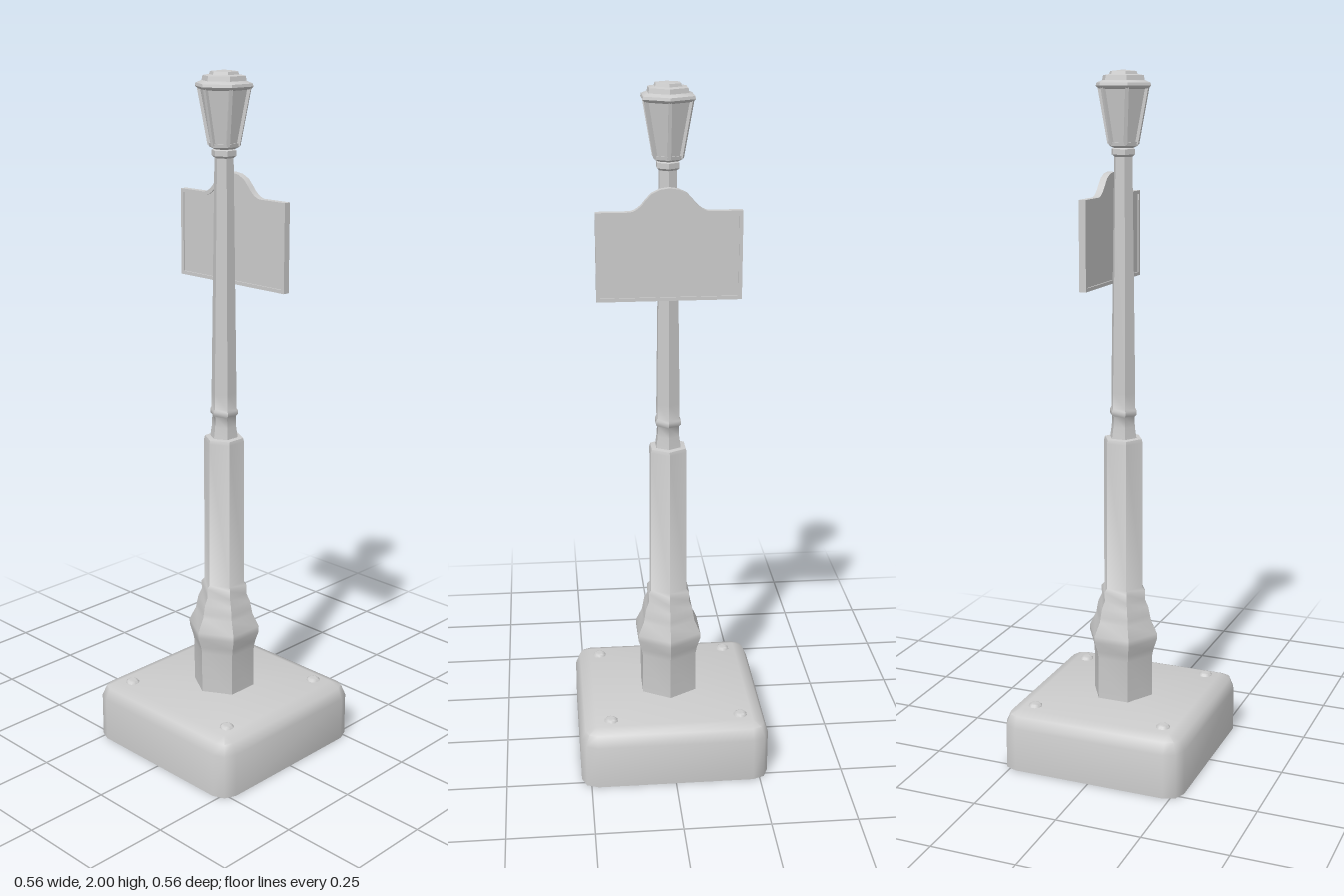
import * as THREE from 'three';
import { toCreasedNormals } from 'three/addons/utils/BufferGeometryUtils.js';

const material = new THREE.MeshStandardMaterial({ color: 0xcccccc, side: THREE.DoubleSide });

function part(name, geometry, crease = 0.75) {
  const mesh = new THREE.Mesh(toCreasedNormals(geometry, crease), material);
  mesh.name = name;
  return mesh;
}

// Six-sided turned shape with a corner on +x; profile is [radius, height] pairs
function hexLathe(profile) {
  const points = profile.map(([r, y]) => new THREE.Vector2(r, y));
  return new THREE.LatheGeometry(points, 6, Math.PI / 2);
}

// Hollow square plinth: rounded-square loops stacked upwards, closed on top
function plinthGeometry() {
  const half = 0.278, corner = 0.048;
  const levels = [[0, 0], [0.132, 0], [0.164, 0.014], [0.177, 0.046]]; // [y, inset]
  const positions = [], index = [], n = 12;
  for (const [y, inset] of levels) {
    const c = half - corner, r = corner - inset;
    for (let q = 0; q < 4; q++) {
      const mid = Math.PI / 4 + q * Math.PI / 2;
      for (let k = 0; k < 3; k++) {
        const a = mid + (k - 1) * Math.PI / 4;
        positions.push(Math.sign(Math.cos(mid)) * c + r * Math.cos(a), y,
          Math.sign(Math.sin(mid)) * c + r * Math.sin(a));
      }
    }
  }
  for (let l = 0; l < levels.length - 1; l++) {
    for (let i = 0; i < n; i++) {
      const a = l * n + i, b = l * n + (i + 1) % n;
      index.push(a, a + n, b, b, a + n, b + n);
    }
  }
  const top = (levels.length - 1) * n, centre = levels.length * n;
  positions.push(0, 0.179, 0);
  for (let i = 0; i < n; i++) index.push(top + i, centre, top + (i + 1) % n);
  const geometry = new THREE.BufferGeometry();
  geometry.setAttribute('position', new THREE.Float32BufferAttribute(positions, 3));
  geometry.setIndex(index);
  geometry.computeVertexNormals();
  return geometry;
}

// Board outline with an arched crest, shrunk inwards by d
function boardOutline(d, Type = THREE.Shape) {
  const w = 0.202 - d, low = 1.412 + d, high = 1.66 - d, s = 0.108 - d * 0.6;
  const s2 = new Type();
  s2.moveTo(-w, low);
  s2.lineTo(w, low);
  s2.lineTo(w, high);
  s2.lineTo(s, high);
  s2.quadraticCurveTo(0.085 - d * 0.6, high + 0.004, 0.066 - d * 0.6, high + 0.03);
  s2.bezierCurveTo(0.04, 1.735 - d, -0.04, 1.735 - d, -0.066 + d * 0.6, high + 0.03);
  s2.quadraticCurveTo(-0.085 + d * 0.6, high + 0.004, -s, high);
  s2.lineTo(-w, high);
  s2.closePath();
  return s2;
}

// Extrudes a board shape across x, facing sideways
function boardGeometry(shape, x0, x1) {
  const g = new THREE.ExtrudeGeometry(shape, { depth: x1 - x0, bevelEnabled: false, curveSegments: 6 });
  return g.rotateY(Math.PI / 2).translate(x0, 0, 0);
}

export function createModel() {
  const model = new THREE.Group();
  model.name = 'streetLampWithSign';

  model.add(part('plinth', plinthGeometry(), 0.9));

  // Flattened bolt heads near the plinth corners
  const bolts = new THREE.Group();
  bolts.name = 'bolts';
  for (const [x, z] of [[-0.2, -0.195], [0.2, -0.198], [0.2, 0.187], [-0.193, 0.203]]) {
    const dome = new THREE.SphereGeometry(0.021, 10, 4, 0, Math.PI * 2, 0, Math.PI / 2);
    const bolt = part('bolt', dome.scale(1, 0.55, 1));
    bolt.position.set(x, 0.176, z);
    bolts.add(bolt);
  }
  model.add(bolts);

  // Post foot, swelling and thick lower column
  model.add(part('lowerPost', hexLathe([
    [0.093, 0.15], [0.093, 0.305], [0.097, 0.325], [0.108, 0.358], [0.108, 0.375],
    [0.088, 0.415], [0.085, 0.43], [0.08, 0.455], [0.069, 0.478], [0.07, 0.505],
    [0.061, 0.515], [0.06, 0.955], [0.057, 0.965], [0.04, 0.967],
  ])));

  // Slim upper column with its collar
  model.add(part('upperPost', hexLathe([
    [0.042, 0.96], [0.036, 1.0], [0.035, 1.03], [0.041, 1.036], [0.041, 1.048],
    [0.037, 1.055], [0.037, 1.1], [0.027, 1.78],
  ])));

  // Lantern: neck collar, recessed panes, corner bars and rails, stepped cap
  const lantern = new THREE.Group();
  lantern.name = 'lantern';
  lantern.add(part('lanternNeck', hexLathe([
    [0.026, 1.765], [0.035, 1.772], [0.035, 1.787], [0.03, 1.79], [0.043, 1.796], [0.045, 1.806], [0, 1.806],
  ])));
  lantern.add(part('lanternPanes', hexLathe([[0.039, 1.8], [0.067, 1.955]])));
  const up = new THREE.Vector3(0, 1, 0);
  for (let i = 0; i < 6; i++) {
    const a = i * Math.PI / 3;
    const from = new THREE.Vector3(Math.cos(a) * 0.041, 1.8, Math.sin(a) * 0.041);
    const to = new THREE.Vector3(Math.cos(a) * 0.071, 1.955, Math.sin(a) * 0.071);
    const dir = to.clone().sub(from);
    const bar = part('lanternBar', new THREE.BoxGeometry(0.009, dir.length(), 0.009));
    bar.position.copy(from).add(to).multiplyScalar(0.5);
    bar.quaternion.setFromUnitVectors(up, dir.normalize())
      .multiply(new THREE.Quaternion().setFromAxisAngle(up, -a));
    lantern.add(bar);
  }
  lantern.add(part('lanternCap', hexLathe([
    [0.06, 1.947], [0.075, 1.95], [0.082, 1.957], [0.08, 1.965], [0.063, 1.972],
    [0.06, 1.985], [0.042, 1.988], [0.039, 1.996], [0, 2.0],
  ])));
  model.add(lantern);

  // Arched sign board with a raised border, fixed to the left of the post
  const sign = new THREE.Group();
  sign.name = 'sign';
  const border = boardOutline(0);
  border.holes.push(boardOutline(0.01, THREE.Path));
  sign.add(part('signBorder', boardGeometry(border, 0.028, 0.048), 0.5));
  sign.add(part('signPanel', boardGeometry(boardOutline(0.005), 0.032, 0.044), 0.5));
  model.add(sign);

  return model;
}
